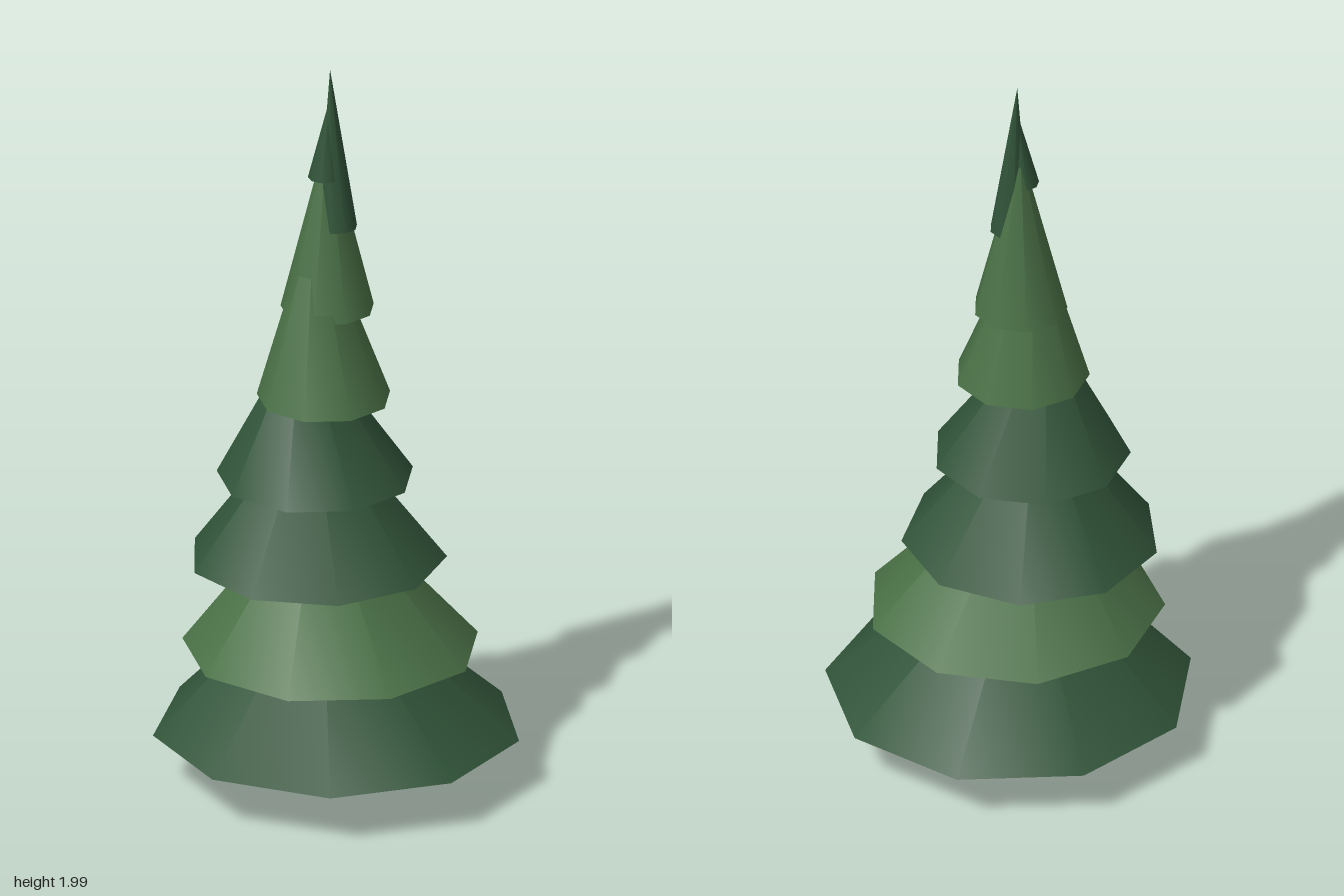
import * as THREE from 'three';

const darkGreen = new THREE.MeshStandardMaterial({ name: 'dark needles', color: 0x315439, side: THREE.DoubleSide });
const lightGreen = new THREE.MeshStandardMaterial({ name: 'light needles', color: 0x4a7146, side: THREE.DoubleSide });
const bark = new THREE.MeshStandardMaterial({ name: 'bark', color: 0x573c2c });

// Open nine-sided cone whose tip is shifted sideways from the centre of its rim
function leaningCone(rim, radius, phase, tip) {
  const height = tip[1] - rim[1];
  const start = Math.PI / 2 - THREE.MathUtils.degToRad(phase);
  const geometry = new THREE.ConeGeometry(radius, height, 9, 1, true, start);
  geometry.translate(0, height / 2, 0);
  const p = geometry.attributes.position;
  for (let i = 0; i < p.count; i++) {
    const t = p.getY(i) / height;
    p.setXYZ(i,
      p.getX(i) + rim[0] + (tip[0] - rim[0]) * t,
      p.getY(i) + rim[1],
      p.getZ(i) + rim[2] + (tip[2] - rim[2]) * t);
  }
  return geometry;
}

export function createModel() {
  const tree = new THREE.Group();
  tree.name = 'firTree';

  // Trunk, running up inside the lowest branches
  const trunk = new THREE.Mesh(new THREE.CylinderGeometry(0.02, 0.028, 0.55, 9), bark);
  trunk.name = 'trunk';
  trunk.position.set(-0.03, 0.275, 0.03);
  tree.add(trunk);

  // Branch tiers from the ground up: rim centre, radius, phase in degrees, tip, material
  const tiers = [
    [[-0.003, 0.14, 0], 0.483, 2.3, [-0.035, 0.6, 0.025], darkGreen],
    [[0, 0.375, 0.022], 0.39, 17, [-0.025, 0.84, 0.045], lightGreen],
    [[-0.054, 0.61, 0.026], 0.338, 30.5, [-0.065, 1.05, 0.035], darkGreen],
    [[-0.034, 0.85, 0.047], 0.259, 17, [-0.065, 1.27, 0.07], darkGreen],
    [[-0.005, 1.08, 0.043], 0.176, 17, [-0.04, 1.6, 0.046], lightGreen],
    [[-0.03, 1.315, 0.01], 0.123, 17, [-0.03, 1.81, 0.01], lightGreen],
    [[-0.002, 1.55, 0], 0.052, 17, [-0.02, 1.99, 0.01], darkGreen],
    [[-0.023, 1.69, 0.028], 0.042, 10, [-0.02, 1.91, 0.01], darkGreen],
  ];
  tiers.forEach(([rim, radius, phase, tip, material], i) => {
    const tier = new THREE.Mesh(leaningCone(rim, radius, phase, tip), material);
    tier.name = `branchTier${i + 1}`;
    tree.add(tier);
  });

  return tree;
}
